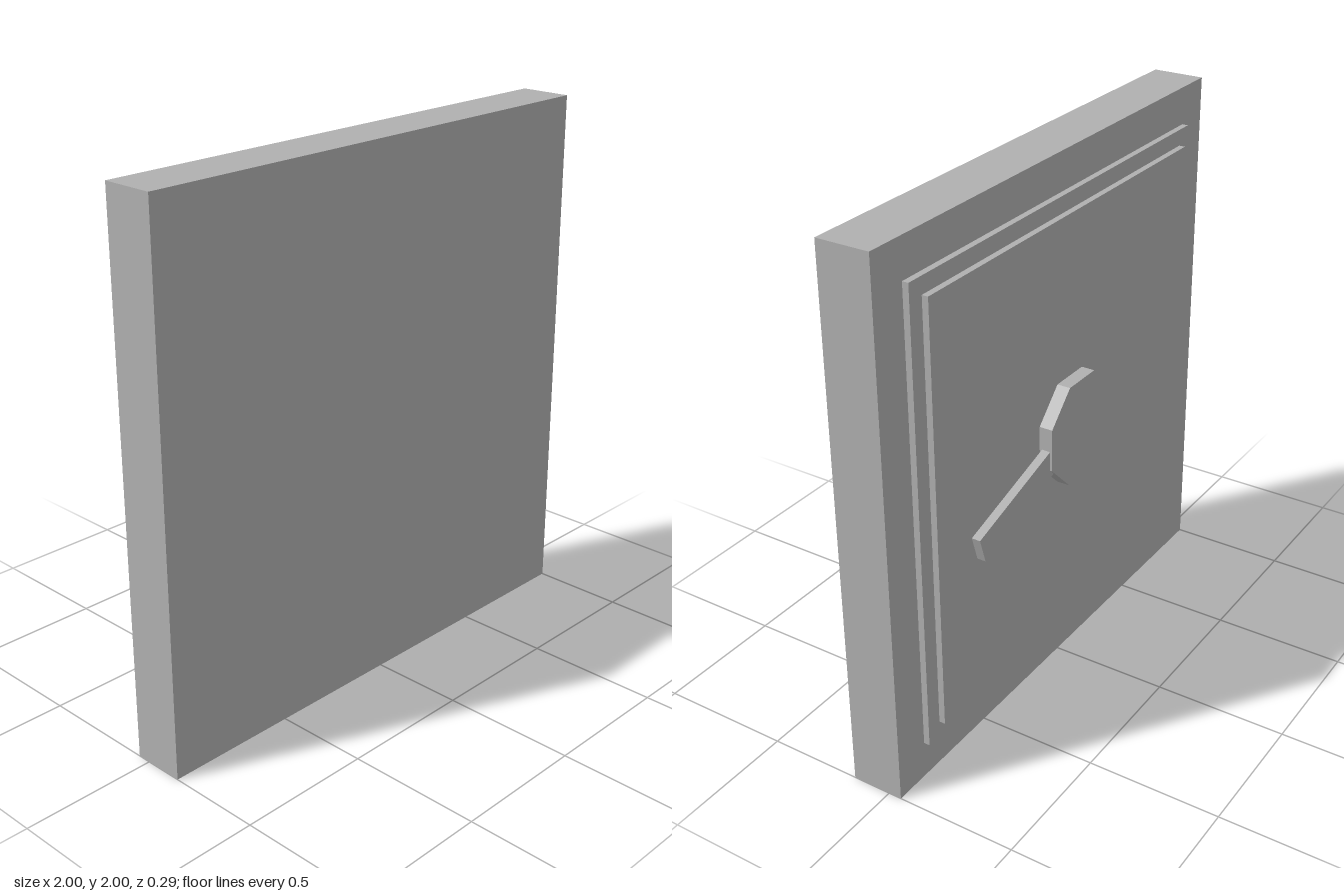
import * as THREE from 'three';

export function createModel() {
  const model = new THREE.Group();
  model.name = 'hatchDoor';
  const grey = new THREE.MeshStandardMaterial({ color: 0xb0b0b0 });
  grey.name = 'plain grey';

  const add = (name, geometry, x, y, z) => {
    const mesh = new THREE.Mesh(geometry, grey);
    mesh.name = name;
    mesh.position.set(x, y, z);
    model.add(mesh);
    return mesh;
  };

  // Stacked square slabs: name, width, z of front face, z of back face
  const slabs = [
    ['doorSlab', 2, 0.147, -0.05],
    ['outerPanel', 1.717, -0.05, -0.073],
    ['innerPanel', 1.595, -0.073, -0.096],
  ];
  for (const [name, width, front, back] of slabs) {
    add(name, new THREE.BoxGeometry(width, width, front - back), 0, 1, (front + back) / 2);
  }

  // Octagonal hub with flat sides facing up, down, left and right
  const radius = 0.195 / Math.cos(Math.PI / 8);
  const hub = new THREE.CylinderGeometry(radius, radius, 0.051, 8).toNonIndexed();
  hub.rotateY(Math.PI / 8);
  hub.rotateX(Math.PI / 2);
  hub.computeVertexNormals();
  add('hub', hub, 0, 1, -0.1215);

  // Lever running from the hub centre out and slightly down
  const length = 0.637;
  const lever = new THREE.BoxGeometry(length, 0.1, 0.033);
  lever.translate(length / 2, 0, 0);
  add('lever', lever, 0, 1, -0.122).rotation.z = -0.292;

  return model;
}
